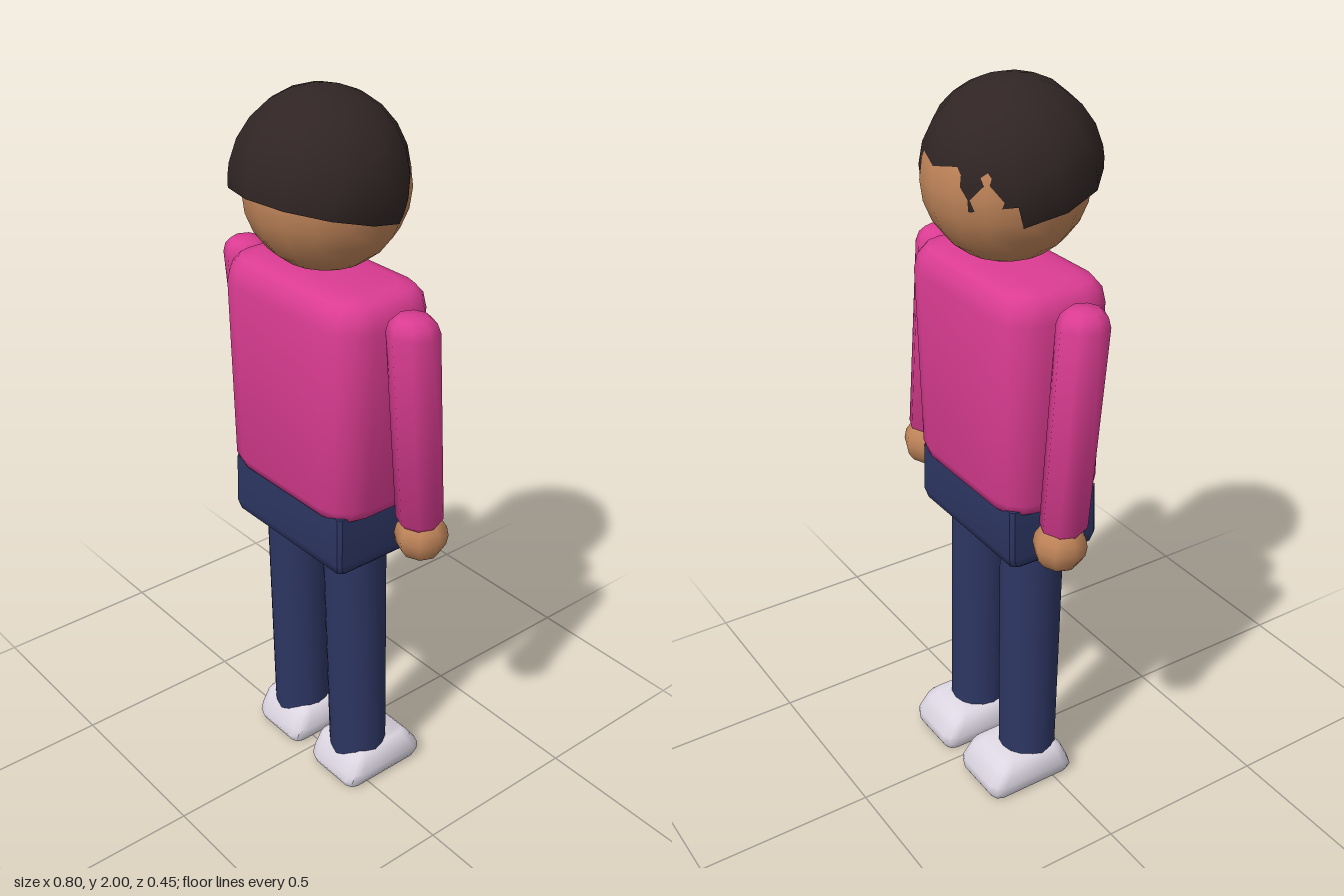
import * as THREE from 'three';
import { toCreasedNormals } from 'three/addons/utils/BufferGeometryUtils.js';

const material = (name, color) => {
  const m = new THREE.MeshStandardMaterial({ color });
  m.name = name;
  return m;
};

// Closed body through rounded rectangles: [y, half width, back z, front z, corner radius]
function loft(rings, crease, cornerSteps = 3) {
  const pos = [], index = [];
  const n = 4 * (cornerSteps + 1);
  for (const [y, hx, z0, z1, r] of rings) {
    const zc = (z0 + z1) / 2, hz = (z1 - z0) / 2;
    for (let c = 0; c < 4; c++) {
      const sx = c === 0 || c === 3 ? 1 : -1, sz = c < 2 ? 1 : -1;
      for (let s = 0; s <= cornerSteps; s++) {
        const a = (c + s / cornerSteps) * Math.PI / 2;
        pos.push(sx * (hx - r) + r * Math.cos(a), y, zc + sz * (hz - r) + r * Math.sin(a));
      }
    }
  }
  const last = (rings.length - 1) * n;
  for (let j = 0; j < n; j++) {
    const k = (j + 1) % n;
    for (let i = 0; i < last; i += n) {
      index.push(i + j, i + n + j, i + k, i + k, i + n + j, i + n + k);
    }
    if (j > 0 && j < n - 1) index.push(0, j, k, last, last + k, last + j);
  }
  const g = new THREE.BufferGeometry();
  g.setAttribute('position', new THREE.Float32BufferAttribute(pos, 3));
  g.setIndex(index);
  return toCreasedNormals(g, crease);
}

// Round limb standing on its lower end, with [radius, height] profile, sheared in x and z
function limb(profile, sides, bottom, top) {
  const g = new THREE.LatheGeometry(profile.map(([r, y]) => new THREE.Vector2(r, y)), sides);
  const p = g.attributes.position;
  const y0 = profile[0][1], y1 = profile[profile.length - 1][1];
  for (let i = 0; i < p.count; i++) {
    const t = (p.getY(i) - y0) / (y1 - y0);
    p.setX(i, p.getX(i) + bottom[0] + (top[0] - bottom[0]) * t);
    p.setZ(i, p.getZ(i) + bottom[1] + (top[1] - bottom[1]) * t);
  }
  return toCreasedNormals(g, 1.1);
}

export function createModel() {
  const model = new THREE.Group();
  model.name = 'standingPerson';
  const pink = material('pink shirt', 0xdb3c92);
  const navy = material('navy trousers', 0x2d3663);
  const skin = material('brown skin', 0xbf8459);
  const hairColor = material('dark hair', 0x302524);
  hairColor.side = THREE.DoubleSide;
  const white = material('pale shoes', 0xdcd6e2);

  const add = (name, geometry, mat, parent = model) => {
    const mesh = new THREE.Mesh(geometry, mat);
    mesh.name = name;
    parent.add(mesh);
    return mesh;
  };

  // Shirt
  add('torso', loft([
    [0.93, 0.215, -0.13, 0.10, 0.06],
    [0.94, 0.24, -0.155, 0.125, 0.08],
    [0.97, 0.253, -0.165, 0.138, 0.09],
    [1.47, 0.268, -0.168, 0.14, 0.09],
    [1.51, 0.26, -0.16, 0.132, 0.085],
    [1.535, 0.24, -0.14, 0.112, 0.07],
    [1.545, 0.205, -0.105, 0.08, 0.05],
  ], 1.1), pink);

  // Hips
  add('hips', loft([
    [0.77, 0.21, -0.125, 0.10, 0.015],
    [0.782, 0.222, -0.142, 0.115, 0.012],
    [0.81, 0.228, -0.15, 0.122, 0.01],
    [0.95, 0.225, -0.148, 0.12, 0.01],
  ], 0.7, 1), navy);

  // Head, with the back pushing slightly through the hair
  const head = add('head', new THREE.SphereGeometry(0.211, 16, 12), skin);
  head.position.set(0, 1.756, -0.017);

  // Hair: tilted cap plus a lower band that leaves one side open
  const hair = new THREE.Group();
  hair.name = 'hair';
  hair.position.set(0, 1.775, 0);
  hair.rotation.x = -0.25;
  add('hairCap', new THREE.SphereGeometry(0.225, 12, 6, 0, Math.PI * 2, 0, Math.PI / 2), hairColor, hair);
  add('hairBand', new THREE.SphereGeometry(0.225, 8, 1, -Math.PI / 6, Math.PI * 4 / 3,
    Math.PI / 2, 0.27), hairColor, hair);
  model.add(hair);

  for (const [side, s] of [['left', 1], ['right', -1]]) {
    // Arms lean backwards towards the hands
    add(side + 'Arm', limb([
      [0, 0.93], [0.05, 0.93], [0.062, 0.945], [0.066, 1.48], [0.058, 1.505], [0.042, 1.52], [0, 1.525],
    ], 8, [s * 0.329, -0.062], [s * 0.329, -0.012]), pink);
    const hand = add(side + 'Hand', new THREE.SphereGeometry(0.071, 8, 8), skin);
    hand.position.set(s * 0.328, 0.89, -0.07);

    // Legs
    add(side + 'Leg', limb([
      [0, 0.07], [0.082, 0.07], [0.087, 0.8], [0, 0.8],
    ], 16, [s * 0.131, -0.035], [s * 0.124, -0.017]), navy);

    // Shoes
    const shoe = add(side + 'Shoe', loft([
      [0.002, 0.09, -0.195, 0.062, 0.025],
      [0.02, 0.1, -0.205, 0.07, 0.035],
      [0.045, 0.103, -0.203, 0.06, 0.035],
      [0.09, 0.095, -0.172, 0.04, 0.03],
      [0.107, 0.078, -0.155, 0.02, 0.025],
    ], 0.8, 2), white);
    shoe.position.x = s * 0.128;
  }
  return model;
}
